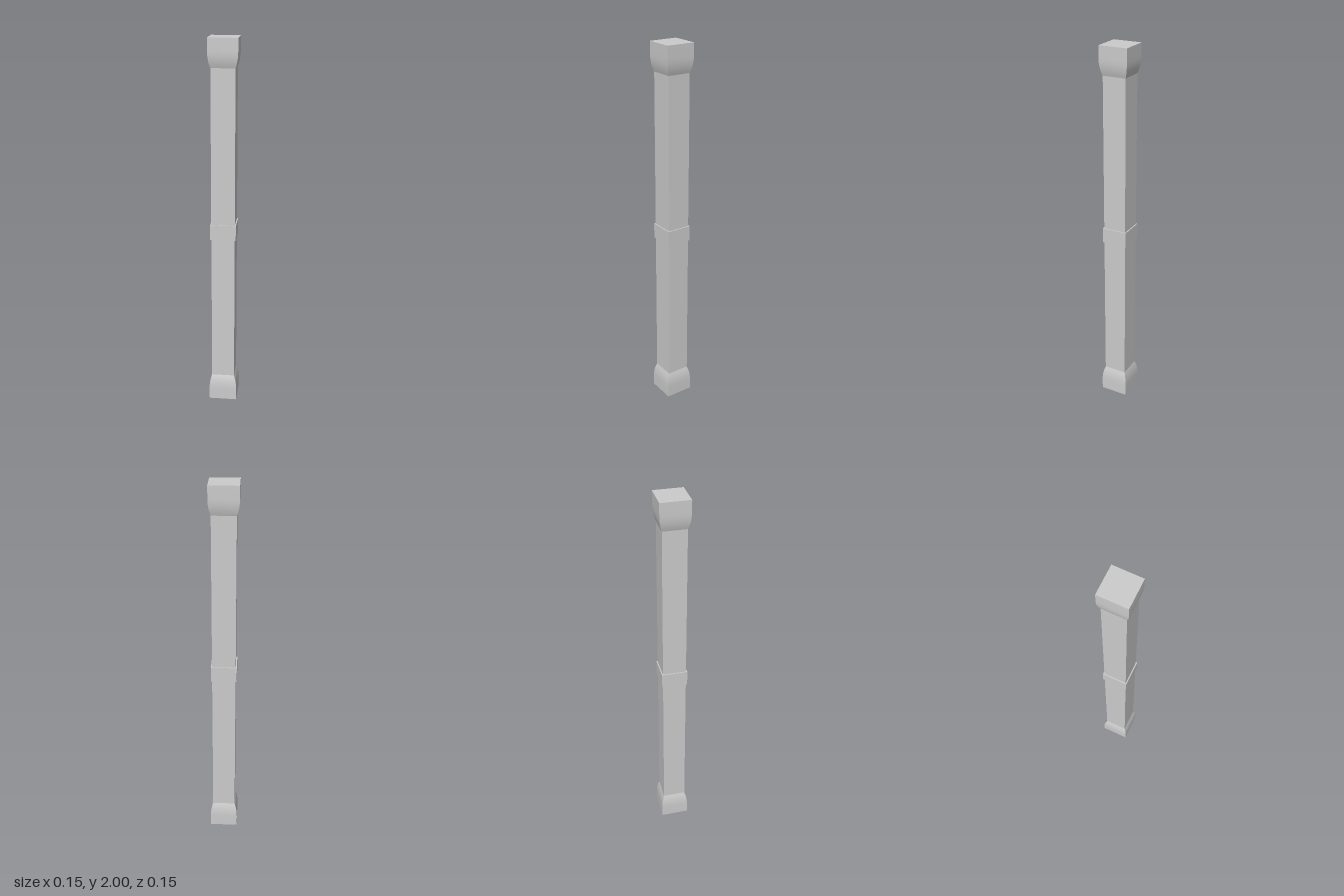
import * as THREE from 'three';
import { toCreasedNormals } from 'three/addons/utils/BufferGeometryUtils.js';

const material = new THREE.MeshStandardMaterial({ color: 0xcccccc });

// Square solid from a bottom-to-top profile of [half width, height]
function squareTurned(name, profile) {
  const points = profile.map(([half, y]) => new THREE.Vector2(half * Math.SQRT2, y));
  const geometry = new THREE.LatheGeometry(points, 4, Math.PI / 4);
  const mesh = new THREE.Mesh(toCreasedNormals(geometry, 0.5), material);
  mesh.name = name;
  return mesh;
}

function box(name, width, y0, y1) {
  const mesh = new THREE.Mesh(new THREE.BoxGeometry(width, y1 - y0, width), material);
  mesh.position.y = (y0 + y1) / 2;
  mesh.name = name;
  return mesh;
}

export function createModel() {
  const group = new THREE.Group();
  group.name = 'squarePost';

  // Foot: straight plinth curving in to the shaft
  const foot = [
    [0, 0], [0.076, 0], [0.076, 0.06], [0.0755, 0.08], [0.074, 0.096],
    [0.0715, 0.112], [0.068, 0.127], [0.064, 0.14], [0.062, 0.146], [0, 0.146],
  ];
  group.add(squareTurned('base', foot));

  // Capital: the foot mirrored at the top
  const capital = foot.map(([half, y]) => [half, 2 - y]).reverse();
  group.add(squareTurned('capital', capital));

  // Shaft with a raised collar at mid height
  group.add(box('shaft', 0.124, 0.14, 1.86));
  group.add(box('collar', 0.136, 0.96, 1.042));

  return group;
}
